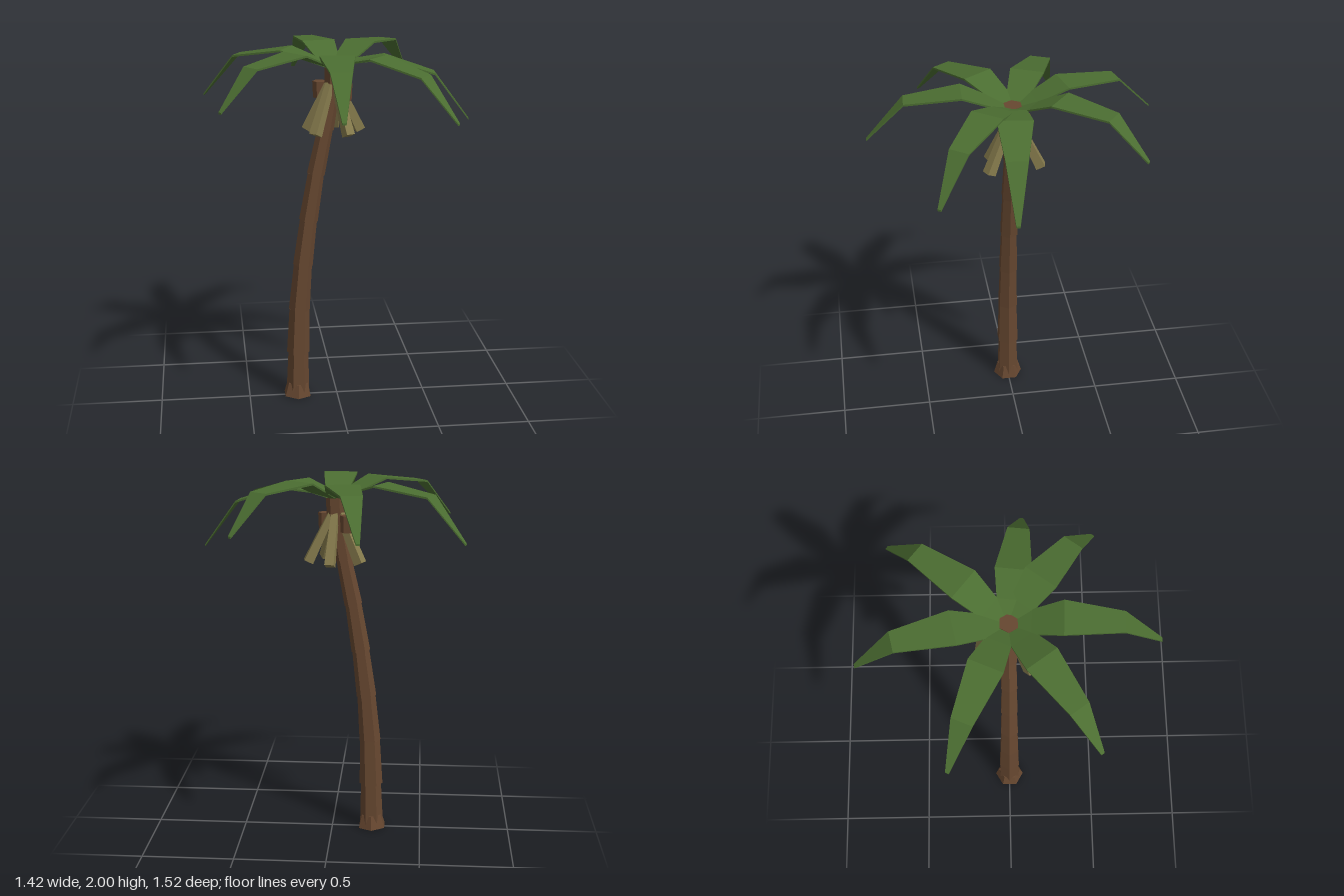
import * as THREE from 'three';

const material = (color) => new THREE.MeshStandardMaterial({ color, flatShading: true, side: THREE.DoubleSide });
const UP = new THREE.Vector3(0, 1, 0);
const CROWN = new THREE.Vector3(-0.015, 1.895, -0.005);

// Prism running from a to b with its own radius at each end
function strut(name, a, b, ra, rb, sides, turn, mat) {
  const dir = b.clone().sub(a);
  const geo = new THREE.CylinderGeometry(rb, ra, dir.length(), sides);
  geo.rotateY(turn);
  const mesh = new THREE.Mesh(geo, mat);
  mesh.name = name;
  mesh.position.copy(a).add(b).multiplyScalar(0.5);
  mesh.quaternion.setFromUnitVectors(UP, dir.normalize());
  return mesh;
}

// Thin tapered blade: rectangular sections [distance, height, half width] joined in a loop
function bladeGeometry(sections, thickness) {
  const pos = [], index = [];
  for (const [r, y, w] of sections) {
    pos.push(r, y, w, r, y, -w, r, y - thickness, -w, r, y - thickness, w);
  }
  const last = (sections.length - 1) * 4;
  for (let s = 0; s < last; s += 4) {
    for (let k = 0; k < 4; k++) {
      const a = s + k, b = s + (k + 1) % 4;
      index.push(a, a + 4, b, b, a + 4, b + 4);
    }
  }
  index.push(0, 1, 2, 0, 2, 3, last, last + 2, last + 1, last, last + 3, last + 2);
  const geo = new THREE.BufferGeometry();
  geo.setAttribute('position', new THREE.Float32BufferAttribute(pos, 3));
  geo.setIndex(index);
  const flat = geo.toNonIndexed();
  flat.computeVertexNormals();
  return flat;
}

export function createModel() {
  const model = new THREE.Group();
  model.name = 'palmTree';
  const bark = material(0x664730);
  const leaf = material(0x4b6d31);
  const husk = material(0x857a4c);

  // Leaning trunk of stacked segments, each narrowing upward: [x, y, radius]
  const trunk = new THREE.Group();
  trunk.name = 'trunk';
  const joints = [
    [-0.225, 0, 0.066], [-0.22, 0.26, 0.065], [-0.212, 0.52, 0.059], [-0.19, 0.78, 0.055],
    [-0.157, 1.04, 0.052], [-0.115, 1.3, 0.049], [-0.063, 1.55, 0.047], [-0.018, 1.8, 0.049],
    [CROWN.x, 1.9, 0.052],
  ];
  for (let i = 0; i < joints.length - 1; i++) {
    const [x0, y0, r0] = joints[i], [x1, y1, r1] = joints[i + 1];
    const top = i === joints.length - 2 ? r1 : r0 * 0.86;
    trunk.add(strut('trunkSegment', new THREE.Vector3(x0, y0, 0), new THREE.Vector3(x1, y1, 0),
      r0, top, 6, Math.PI / 6, bark));
  }
  // Flared foot
  trunk.add(strut('trunkFoot', new THREE.Vector3(-0.227, 0, 0), new THREE.Vector3(-0.224, 0.075, 0),
    0.083, 0.062, 6, 0, bark));
  model.add(trunk);

  // Fronds: [tip x, tip z, first bend height, second bend height, tip height]
  const fronds = new THREE.Group();
  fronds.name = 'fronds';
  const frondData = [
    [-0.175, -0.76, 1.99, 1.975, 1.775], [0.465, -0.61, 1.995, 1.97, 1.775],
    [0.705, 0.08, 1.945, 1.86, 1.61], [0.575, 0.445, 1.96, 1.885, 1.66],
    [-0.05, 0.76, 1.99, 1.955, 1.745], [-0.635, 0.44, 1.985, 1.945, 1.745],
    [-0.705, -0.31, 1.975, 1.93, 1.7],
  ];
  for (const [x, z, y1, y2, y3] of frondData) {
    const dx = x - CROWN.x, dz = z - CROWN.z, length = Math.hypot(dx, dz);
    const frond = new THREE.Mesh(bladeGeometry([
      [0.035, 1.895, 0.035], [0.115, 1.925, 0.066], [0.27, y1, 0.092],
      [length * 0.74, y2, 0.056], [length, y3, 0.01],
    ], 0.01), leaf);
    frond.name = 'frond';
    frond.position.set(CROWN.x, 0, CROWN.z);
    frond.rotation.y = -Math.atan2(dz, dx);
    fronds.add(frond);
  }
  model.add(fronds);

  // Cut leaf stalks hanging below the crown
  const stalks = new THREE.Group();
  stalks.name = 'hangingStalks';
  for (let i = 0; i < 5; i++) {
    const angle = THREE.MathUtils.degToRad(63 + 72 * i);
    const at = (r, y) => new THREE.Vector3(-0.02 + r * Math.cos(angle), y, r * Math.sin(angle));
    const stalk = strut('stalk', at(0.025, 1.8), at(0.15, 1.54), 0.025, 0.036, 4, Math.PI / 4 - angle, husk);
    stalks.add(stalk);
  }
  model.add(stalks);

  // Coconuts against the trunk
  const coconuts = new THREE.Group();
  coconuts.name = 'coconuts';
  for (const [x, z] of [[-0.085, -0.072], [0.04, 0.035]]) {
    coconuts.add(strut('coconut', new THREE.Vector3(x, 1.71, z), new THREE.Vector3(x, 1.8, z),
      0.036, 0.04, 6, Math.PI / 6, bark));
  }
  model.add(coconuts);

  return model;
}
